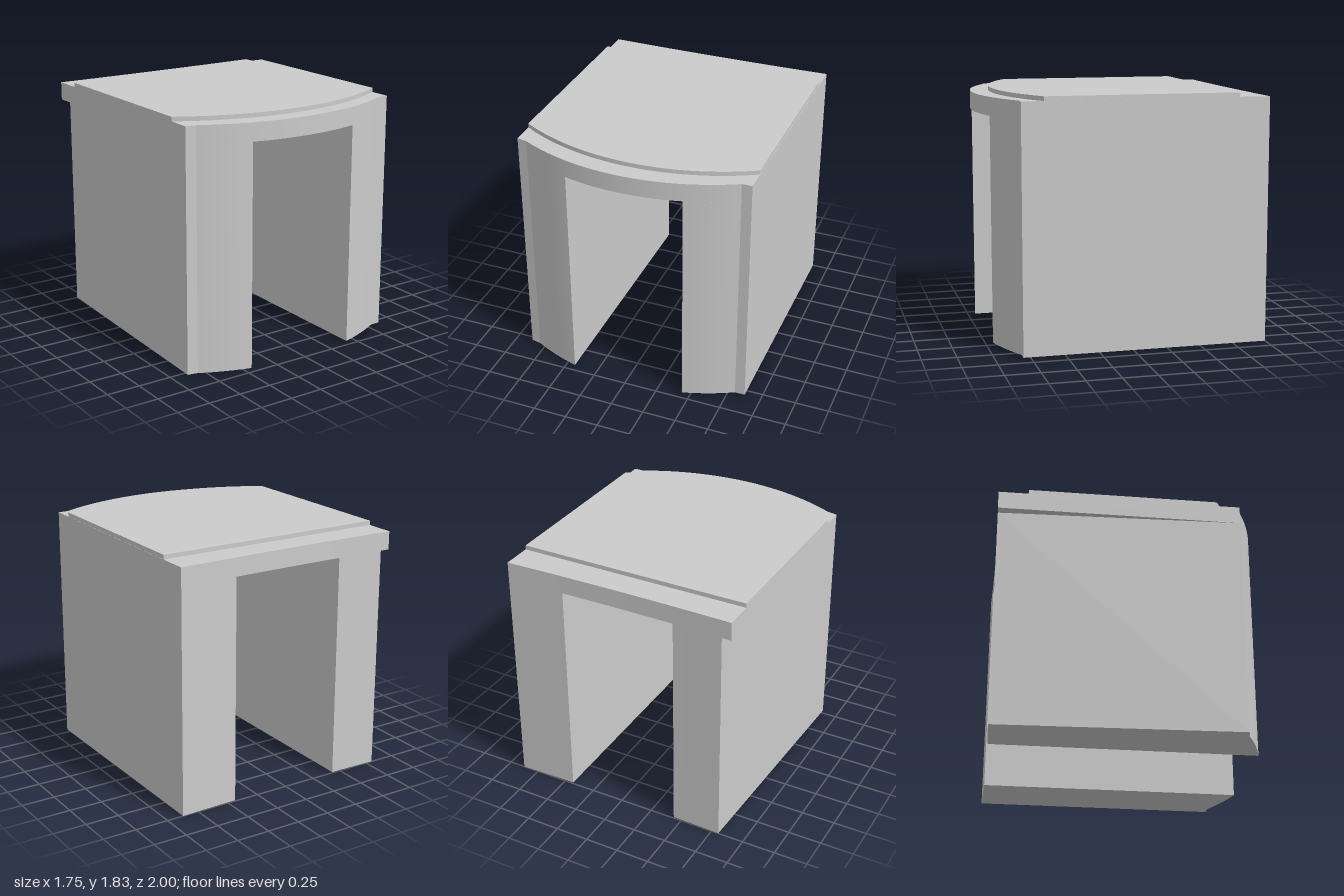
import * as THREE from 'three';
import { toCreasedNormals } from 'three/addons/utils/BufferGeometryUtils.js';

const material = new THREE.MeshStandardMaterial({ color: 0xcccccc });
const HALF = 0.875, INNER = 0.435, LINTEL = 1.66, TOP = 1.795, CREST = 1.827;

// depth of the bowed front, the slightly hollow back and the cap's front edge
const bow = (x, r) => r - Math.sqrt(r * r - x * x);
const frontZ = x => 1 - bow(x, 1.7);
const backZ = x => -0.987 - 0.013 * (x / HALF) ** 2;
const capZ = x => 0.865 - bow(x - 0.02, 1.72);

// points [x, z] along a curve z = f(x)
function sweep(f, from, to, n = 24) {
  return Array.from({ length: n + 1 }, (_, i) => {
    const x = from + (to - from) * i / n;
    return [x, f(x)];
  });
}

// extrude a plan outline upwards from y0 to y1
function prism(name, outline, y0, y1) {
  const shape = new THREE.Shape(outline.map(([x, z]) => new THREE.Vector2(x, -z)));
  const geometry = new THREE.ExtrudeGeometry(shape, { depth: y1 - y0, bevelEnabled: false });
  geometry.rotateX(-Math.PI / 2).translate(0, y0, 0);
  const mesh = new THREE.Mesh(toCreasedNormals(geometry, 0.2), material);
  mesh.name = name;
  return mesh;
}

export function createModel() {
  const group = new THREE.Group();
  group.name = 'archBlock';

  // left wall: straight outer side
  group.add(prism('leftWall', [
    ...sweep(frontZ, INNER, 0.8, 10), [HALF, 0.8],
    ...sweep(backZ, HALF, INNER, 6),
  ], 0, LINTEL));

  // right wall: outer side tapers inwards to the back
  group.add(prism('rightWall', [
    [-HALF, 0.785], ...sweep(frontZ, -0.8, -INNER, 10),
    ...sweep(backZ, -INNER, -0.805, 6),
  ], 0, LINTEL));

  // lintel slab across both walls
  group.add(prism('lintelSlab', [
    [-HALF, 0.785], ...sweep(frontZ, -0.8, 0.8, 40), [HALF, 0.8],
    ...sweep(backZ, HALF, -HALF, 12),
  ], LINTEL, TOP));

  // thin raised cap, set back at both ends
  group.add(prism('topCap', [
    ...sweep(capZ, -HALF, 0.873, 40), [0.873, -0.775], [-HALF, -0.78],
  ], TOP, CREST));

  return group;
}
